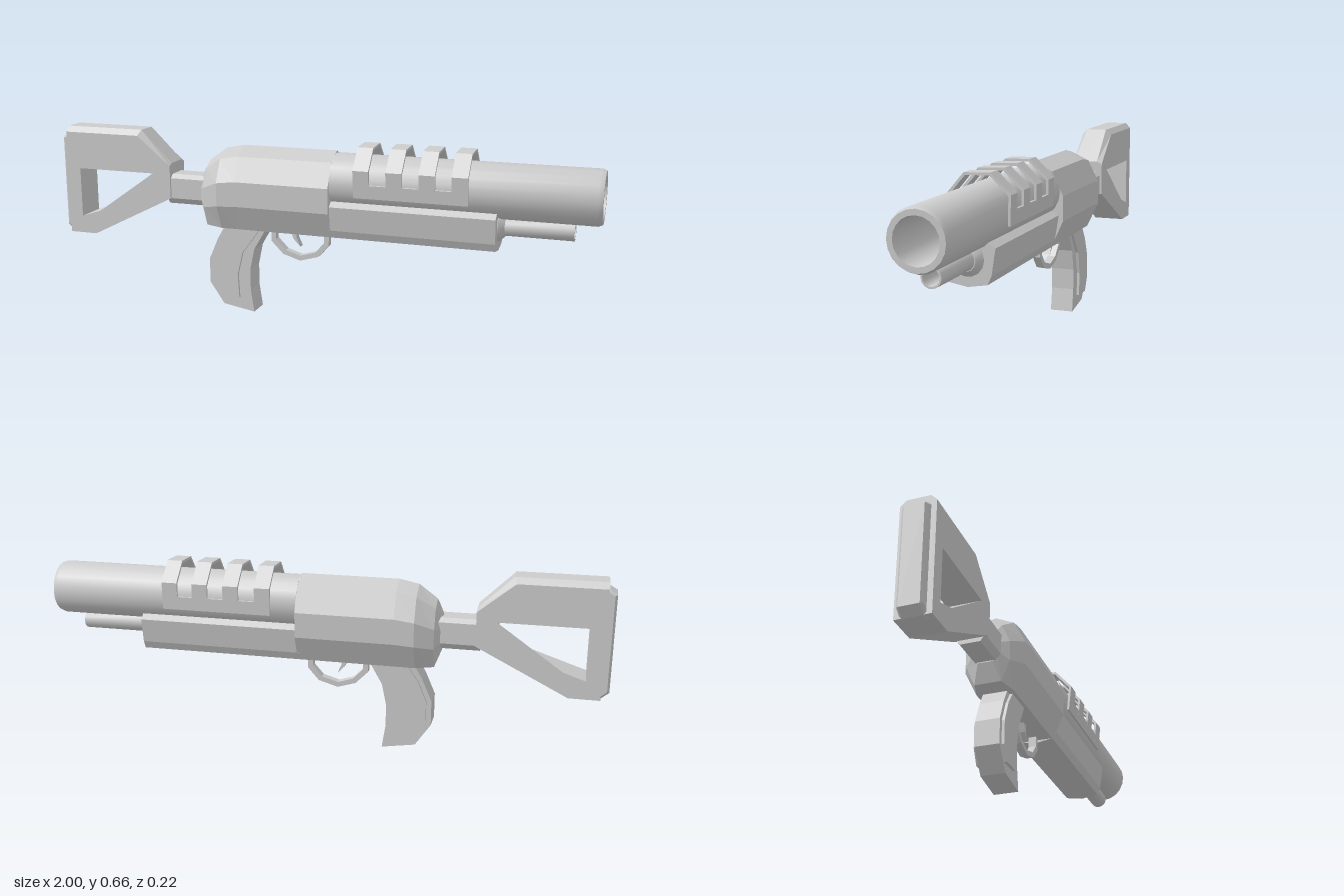
import * as THREE from 'three';
import { toCreasedNormals } from 'three/addons/utils/BufferGeometryUtils.js';

const flat = new THREE.MeshStandardMaterial({ color: 0xcccccc, flatShading: true });
const smooth = new THREE.MeshStandardMaterial({ color: 0xcccccc });

export function createModel() {
  const root = new THREE.Group();
  const add = (name, geometry, material = flat, parent = root) => {
    const mesh = new THREE.Mesh(geometry, material);
    mesh.name = name;
    parent.add(mesh);
    return mesh;
  };
  const toPoints = pts => pts.map(([x, y]) => new THREE.Vector2(x, y));

  // Side profile (x, y) given thickness, centred on z = 0
  const slab = (pts, width, bevel = 0, hole = null) => {
    const shape = new THREE.Shape(toPoints(pts));
    if (hole) shape.holes.push(new THREE.Path(toPoints(hole)));
    const g = new THREE.ExtrudeGeometry(shape, {
      depth: width - 2 * bevel, bevelEnabled: bevel > 0, bevelSegments: 1,
      bevelSize: bevel, bevelThickness: bevel, bevelOffset: -bevel,
    });
    return g.translate(0, 0, -width / 2 + bevel);
  };

  // Cross-section loops along x, closed with end caps
  const loft = rows => {
    const n = rows[0].length, index = [];
    for (let r = 0; r < rows.length - 1; r++) {
      for (let i = 0; i < n; i++) {
        const a = r * n + i, b = r * n + (i + 1) % n;
        index.push(a, b, b + n, a, b + n, a + n);
      }
    }
    const last = (rows.length - 1) * n;
    for (let i = 1; i < n - 1; i++) {
      index.push(0, i + 1, i, last, last + i, last + i + 1);
    }
    const g = new THREE.BufferGeometry();
    g.setAttribute('position', new THREE.Float32BufferAttribute(rows.flat(2), 3));
    g.setIndex(index);
    g.computeVertexNormals();
    return g;
  };
  // Half section (z, y) from top to bottom, mirrored to the other side
  const mirror = half => [...half,
    ...half.filter(p => p[0] > 0).reverse().map(([z, y]) => [-z, y])];
  // Straight bar with one section from x0 to x1
  const bar = (half, x0, x1) => loft([x0, x1].map(x => mirror(half).map(([z, y]) => [x, y, z])));

  // Turned part along x: profile of (radius, x)
  const turned = (profile, y, sides) => toCreasedNormals(
    new THREE.LatheGeometry(toPoints(profile), sides)
      .rotateZ(-Math.PI / 2).translate(0, y, 0), 0.5);

  // Receiver: one section, squeezed towards the back
  const body = mirror([[0, 0.617], [0.067, 0.585], [0.108, 0.5], [0.107, 0.41], [0.065, 0.317]]);
  const receiverRows = [
    [-0.43, 0.4, 0.385, 0.497], [-0.405, 0.72, 0.32, 0.555],
    [-0.34, 1, 0.317, 0.603], [-0.27, 1, 0.317, 0.617], [0.08, 1, 0.317, 0.617],
  ];
  add('receiver', loft(receiverRows.map(([x, width, low, high]) =>
    body.map(([z, y]) => [x, low + (y - 0.317) / 0.3 * (high - low), z * width]))));

  // Barrel, bored through to the receiver
  add('barrel', turned([[0.096, 0.08], [0.096, 0.985], [0.09, 1],
    [0.072, 1], [0.072, 0.085], [0, 0.085]], 0.514, 20), smooth);

  // Magazine tube with tapered collar
  add('magazineTube', turned([[0, 0.64], [0.055, 0.65], [0.055, 0.662], [0.036, 0.682],
    [0.033, 0.682], [0.033, 0.912], [0.027, 0.912], [0.027, 0.75], [0, 0.75]], 0.393, 14), smooth);

  // Fore-end: ridged top runs up into the barrel
  add('foreEnd', bar([[0, 0.497], [0.092, 0.432], [0.078, 0.345], [0.065, 0.317], [0, 0.306]],
    0.07, 0.66));

  // Slotted shield: four arched bands joined by side strips
  const shield = new THREE.Group();
  shield.name = 'barrelShield';
  shield.position.y = 0.515;
  shield.rotation.x = 0.04;
  root.add(shield);
  const flip = pts => pts.map(([z, y]) => [-z, y]).reverse();
  const outer = [[0.102, -0.037], [0.109, 0.06], [0.045, 0.129]];
  const inner = [[0.094, -0.037], [0.1, 0.056], [0.041, 0.12]];
  const arch = [...outer, ...flip(outer), ...[...inner, ...flip(inner)].reverse()];
  for (const x of [0.198, 0.314, 0.428, 0.54]) {
    add('shieldBand', slab(arch, 0.056).rotateY(Math.PI / 2).translate(x, 0, 0), flat, shield);
  }
  for (const side of [1, -1]) {
    const strip = add('shieldStrip', new THREE.BoxGeometry(0.398, 0.047, 0.008), flat, shield);
    strip.position.set(0.369, -0.0135, side * 0.0995);
    strip.rotation.x = side * 0.07;
  }

  // Stock: bevelled along the top only, sharp opening and underside
  const opening = [[-0.92, 0.315], [-0.615, 0.415], [-0.615, 0.5], [-0.92, 0.5]];
  const underside = [[-0.545, 0.41], [-0.865, 0.25], [-0.972, 0.25]];
  const stock = slab([[-0.972, 0.657], [-0.665, 0.657], [-0.545, 0.54], ...underside],
    0.12, 0.02, opening);
  const pos = stock.attributes.position;
  for (let i = 0; i < pos.count; i++) {
    for (const [x, y] of [...opening, ...underside]) {
      if (Math.hypot(pos.getX(i) - x, pos.getY(i) - y) < 0.038) pos.setXY(i, x, y);
    }
    if (pos.getX(i) < -0.94) pos.setX(i, -0.972);
    if (pos.getX(i) > -0.58) pos.setX(i, -0.545);
  }
  stock.computeVertexNormals();
  add('stock', stock);
  add('buttPad', slab([[-0.95, 0.63], [-0.975, 0.63], [-1, 0.615], [-1, 0.272],
    [-0.972, 0.248], [-0.95, 0.248]], 0.084, 0.008));
  add('stockTube', bar([[0.035, 0.499], [0.052, 0.485], [0.052, 0.41], [0.035, 0.388]],
    -0.56, -0.41));

  // Grip with raised side panels
  add('grip', slab([[-0.33, 0.33], [-0.365, 0.27], [-0.4, 0.19], [-0.4, 0.1], [-0.345, 0.02],
    [-0.225, 0], [-0.238, 0.085], [-0.238, 0.163], [-0.222, 0.24], [-0.17, 0.33]], 0.086));
  add('gripPanels', slab([[-0.31, 0.32], [-0.35, 0.265], [-0.382, 0.19], [-0.382, 0.105],
    [-0.357, 0.052], [-0.28, 0.052], [-0.285, 0.14], [-0.265, 0.225], [-0.195, 0.32]], 0.106));

  // Trigger and its guard
  const guard = [[-0.165, 0.33], [-0.165, 0.27], [-0.12, 0.225], [-0.055, 0.205],
    [0.015, 0.225], [0.055, 0.27], [0.055, 0.33]];
  const guardInner = guard.map(([x, y]) =>
    [-0.055 + (x + 0.055) * 0.84, 0.33 + (y - 0.33) * 0.85]);
  add('triggerGuard', slab([...guard, ...guardInner.reverse()], 0.028));
  add('trigger', slab([[-0.095, 0.325], [-0.08, 0.285], [-0.053, 0.257], [-0.068, 0.29],
    [-0.065, 0.325]], 0.026));

  return root;
}
